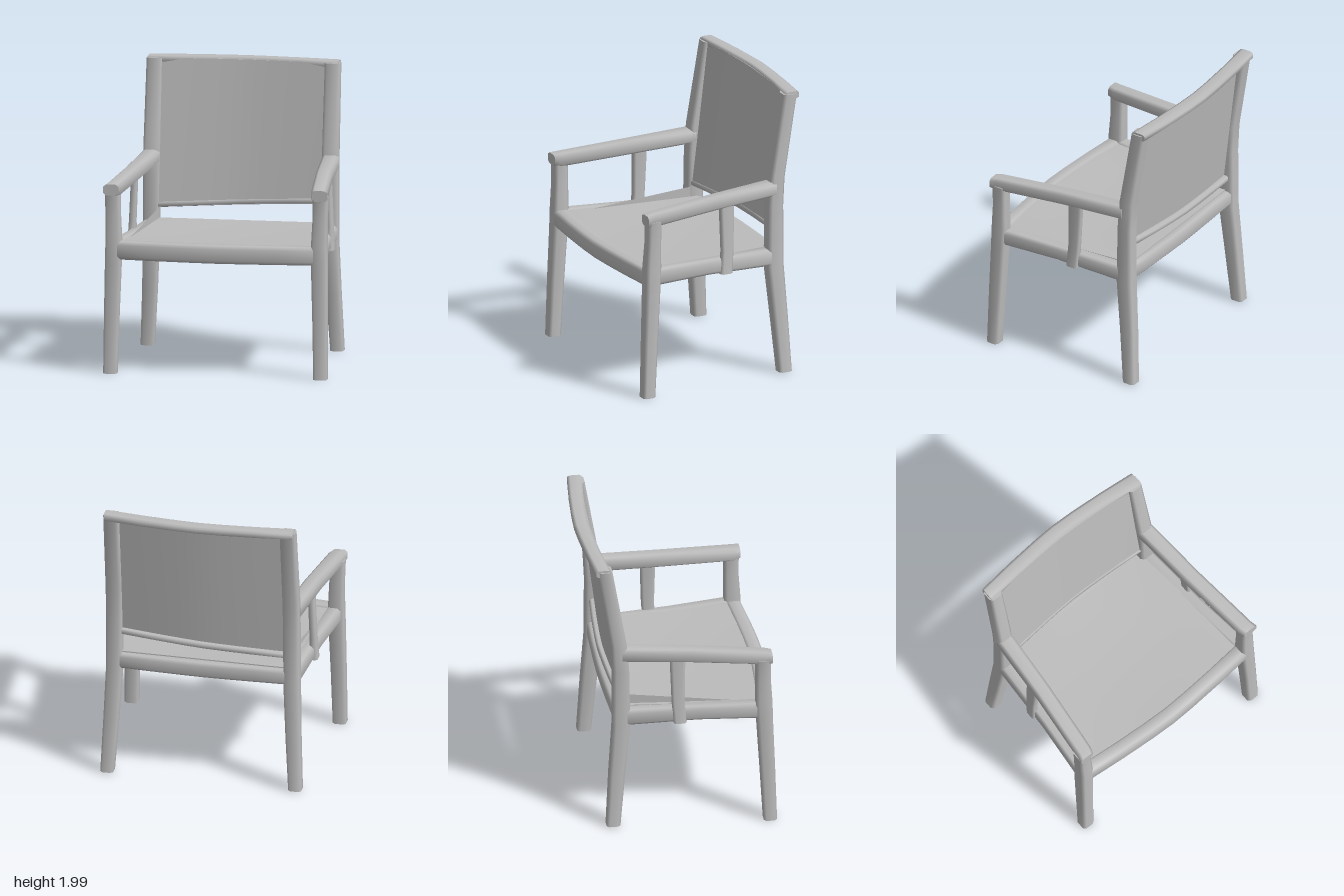
import * as THREE from 'three';

const frame = new THREE.MeshStandardMaterial({ color: 0xbcbcbc });
frame.name = 'plain grey';
const thinGrey = new THREE.MeshStandardMaterial({ color: 0xbcbcbc, side: THREE.DoubleSide });
thinGrey.name = 'plain grey thin';

// Soft-edged bar along axis 0/1/2 (x/y/z); stations [x, y, z, halfU, halfV] run in the + direction,
// where U and V are the next two axes in cyclic order.
function bar(name, axis, stations) {
  const c = 0.62;
  const ring = [[1, -c], [1, c], [c, 1], [-c, 1], [-1, c], [-1, -c], [-c, -1], [c, -1]];
  const n = ring.length, u = (axis + 1) % 3, v = (axis + 2) % 3;
  const pos = [], idx = [];
  const addRing = (s) => {
    const start = pos.length / 3;
    for (const [a, b] of ring) {
      const p = s.slice(0, 3);
      p[u] += a * s[3];
      p[v] += b * s[4];
      pos.push(...p);
    }
    return start;
  };
  stations.forEach(addRing);
  for (let i = 0; i < stations.length - 1; i++) {
    for (let j = 0; j < n; j++) {
      const a = i * n + j, b = i * n + (j + 1) % n;
      idx.push(a, b, b + n, a, b + n, a + n);
    }
  }
  // End caps
  const first = addRing(stations[0]), last = addRing(stations[stations.length - 1]);
  for (let j = 1; j < n - 1; j++) {
    idx.push(first, first + j + 1, first + j, last, last + j, last + j + 1);
  }
  const g = new THREE.BufferGeometry();
  g.setAttribute('position', new THREE.Float32BufferAttribute(pos, 3));
  g.setIndex(idx);
  g.computeVertexNormals();
  const mesh = new THREE.Mesh(g, frame);
  mesh.name = name;
  return mesh;
}

// Box whose vertices are moved by a rule on unit coordinates
function shapedBox(name, segments, rule) {
  const g = new THREE.BoxGeometry(1, 1, 1, ...segments);
  const p = g.attributes.position;
  for (let i = 0; i < p.count; i++) {
    p.setXYZ(i, ...rule(p.getX(i) * 2, p.getY(i) + 0.5, p.getZ(i) + 0.5));
  }
  g.computeVertexNormals();
  const mesh = new THREE.Mesh(g, frame);
  mesh.name = name;
  return mesh;
}

const lerp = THREE.MathUtils.lerp;
const bow = (x) => 1 - Math.pow(Math.abs(x), 1.5);

export function createModel() {
  const chair = new THREE.Group();
  chair.name = 'armchair';

  for (const s of [1, -1]) {
    const side = s > 0 ? 'left' : 'right';
    // Front leg and arm post
    chair.add(bar(side + 'FrontLeg', 1, [
      [0.722 * s, 0.01, 0.582, 0.045, 0.046],
      [0.716 * s, 0.4, 0.565, 0.05, 0.049],
      [0.708 * s, 0.78, 0.547, 0.054, 0.053],
      [0.706 * s, 0.92, 0.542, 0.056, 0.052],
      [0.711 * s, 1.1, 0.537, 0.049, 0.048],
      [0.715 * s, 1.26, 0.537, 0.05, 0.05],
    ]));
    // Back leg and back post
    chair.add(bar(side + 'BackLeg', 1, [
      [0.652 * s, 0.015, -0.482, 0.047, 0.045],
      [0.632 * s, 0.4, -0.454, 0.054, 0.049],
      [0.616 * s, 0.77, -0.423, 0.06, 0.053],
      [0.614 * s, 1.2, -0.425, 0.055, 0.054],
      [0.614 * s, 1.4, -0.438, 0.052, 0.055],
      [0.612 * s, 1.985, -0.535, 0.05, 0.052],
    ]));
    // Armrest
    chair.add(bar(side + 'Armrest', 2, [
      [0.616 * s, 1.325, -0.42, 0.058, 0.05],
      [0.652 * s, 1.3, 0.05, 0.055, 0.048],
      [0.706 * s, 1.268, 0.55, 0.054, 0.046],
      [0.718 * s, 1.27, 0.595, 0.052, 0.038],
    ]));
    // Side seat rail
    chair.add(bar(side + 'SeatRail', 2, [
      [0.615 * s, 0.835, -0.42, 0.05, 0.058],
      [0.655 * s, 0.85, 0.1, 0.045, 0.052],
      [0.7 * s, 0.857, 0.55, 0.05, 0.057],
    ]));
    // Slat between seat rail and armrest
    chair.add(bar(side + 'ArmSlat', 1, [
      [0.68 * s, 0.79, -0.028, 0.043, 0.03],
      [0.678 * s, 0.95, -0.04, 0.043, 0.022],
      [0.665 * s, 1.27, -0.042, 0.052, 0.02],
    ]));
  }

  // Bowed front and back seat rails
  const xs = [-1, -0.6, -0.25, 0, 0.25, 0.6, 1];
  chair.add(bar('frontSeatRail', 0, xs.map((x) =>
    [x * 0.69, 0.853, 0.545 + 0.048 * bow(x), 0.062, 0.052])));
  chair.add(bar('backSeatRail', 0, xs.map((x) =>
    [x * 0.61, 0.838, -0.425 - 0.02 * bow(x), 0.054, 0.045])));

  // Seat panel, tapering to the back and slightly dished
  chair.add(shapedBox('seat', [10, 1, 8], (x, y, z) => [
    x * lerp(0.585, 0.68, z),
    lerp(0.862, 0.9, y) - 0.012 * (1 - x * x) * Math.sin(z * Math.PI),
    lerp(-0.43, 0.55 + 0.045 * bow(x), z),
  ]));

  // Thin upturned edge of the seat on the right
  const edge = new THREE.BufferGeometry().setFromPoints([
    new THREE.Vector3(-0.63, 0.9, 0.33),
    new THREE.Vector3(-0.565, 0.97, -0.38),
    new THREE.Vector3(-0.565, 0.87, -0.38),
  ]);
  edge.computeVertexNormals();
  const edgeMesh = new THREE.Mesh(edge, thinGrey);
  edgeMesh.name = 'seatEdge';
  chair.add(edgeMesh);

  // Backrest, leaning and bowed backwards, with a slightly skewed lower edge
  const lowEdge = (x) => 1.008 + 0.03 * x;
  chair.add(shapedBox('backrest', [10, 6, 1], (x, y, z) => [
    x * 0.6,
    lerp(lowEdge(x), 1.985, y),
    lerp(-0.385, -0.505, y) - 0.037 * bow(x) - 0.03 * (1 - z),
  ]));

  // Lips along the top and bottom of the backrest
  chair.add(bar('backTopLip', 0, xs.map((x) =>
    [x * 0.655, 1.974, -0.545 - 0.052 * bow(x), 0.026, 0.05])));
  chair.add(bar('backBottomLip', 0, xs.map((x) =>
    [x * 0.57, lowEdge(x) + 0.018, -0.42 - 0.035 * bow(x), 0.02, 0.036])));

  return chair;
}
